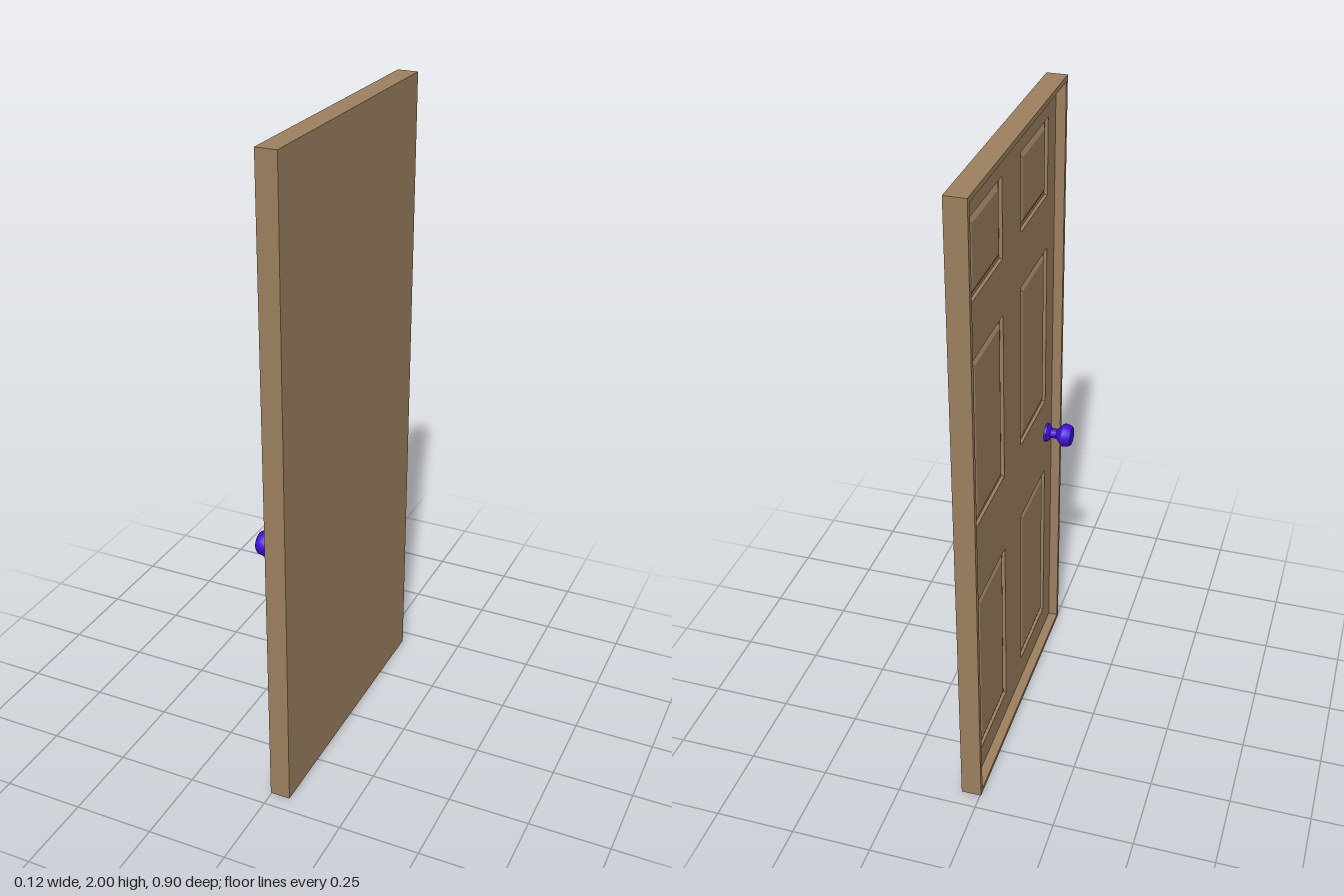
import * as THREE from 'three';
import { toCreasedNormals } from 'three/addons/utils/BufferGeometryUtils.js';

const BACK = 0.06, SUNK = 0.037, FLOOR = 0.027, FRONT = -0.003; // depths along x
const HALF_W = 0.45, HEIGHT = 2, RIM = 0.016;

// Rectangle in the door plane: u runs along z, v runs up
function rect(u0, v0, u1, v1, Kind = THREE.Shape) {
  return new Kind([[u0, v0], [u1, v0], [u1, v1], [u0, v1]].map(([u, v]) => new THREE.Vector2(u, v)));
}

// Extrude a door-plane shape from x = start towards -x
function plate(shape, start, depth, bevel = {}) {
  const geo = new THREE.ExtrudeGeometry(shape, { depth, bevelEnabled: false, ...bevel });
  geo.rotateY(-Math.PI / 2);
  geo.translate(start, 0, 0);
  return geo;
}

export function createModel() {
  const model = new THREE.Group();
  const wood = new THREE.MeshStandardMaterial({ color: 0x9c805f });
  wood.name = 'brown wood';
  const metal = new THREE.MeshStandardMaterial({ color: 0x400bd6 });
  metal.name = 'violet knob';

  const add = (name, geo, mat) => {
    const mesh = new THREE.Mesh(geo, mat);
    mesh.name = name;
    model.add(mesh);
    return mesh;
  };

  // Plain slab on the back of the door
  add('slab', plate(rect(-HALF_W, 0, HALF_W, HEIGHT), BACK, BACK - SUNK), wood);

  // Raised rim around the panelled side
  const inner = [-HALF_W + RIM, RIM, HALF_W - RIM, HEIGHT - RIM];
  const rim = rect(-HALF_W, 0, HALF_W, HEIGHT);
  rim.holes.push(rect(...inner, THREE.Path));
  add('rim', plate(rim, SUNK, SUNK - FRONT), wood);

  // Sunken face with six panel openings, each holding a bevelled field
  const face = rect(...inner);
  const rows = [[0.10, 0.695], [0.963, 1.50], [1.67, 1.905]];
  const inset = 0.012, bevel = 0.009;
  for (const [v0, v1] of rows) {
    for (const [u0, u1] of [[-0.355, -0.085], [0.085, 0.355]]) {
      face.holes.push(rect(u0, v0, u1, v1, THREE.Path));
      const field = rect(u0 + inset, v0 + inset, u1 - inset, v1 - inset);
      add('panelField', plate(field, SUNK, 0.001, {
        bevelEnabled: true, bevelThickness: bevel - 0.002, bevelSize: 0.014,
        bevelOffset: -0.014, bevelSegments: 1,
      }), wood);
    }
  }
  add('panelledFace', plate(face, SUNK, SUNK - FLOOR), wood);

  // Turned knob: rose, neck and flared grip, lathed from the face outwards
  const profile = [
    [0, 0], [0.03, 0], [0.03, 0.008], [0.024, 0.014], [0.016, 0.018],
    [0.016, 0.037], [0.026, 0.047], [0.036, 0.056], [0.038, 0.063],
    [0.034, 0.081], [0.029, 0.087], [0, 0.088],
  ].map(([r, h]) => new THREE.Vector2(r, h));
  const knobGeo = toCreasedNormals(new THREE.LatheGeometry(profile, 20), 0.6);
  knobGeo.rotateZ(Math.PI / 2);
  add('knob', knobGeo, metal).position.set(FLOOR, 0.835, 0.37);

  return model;
}
